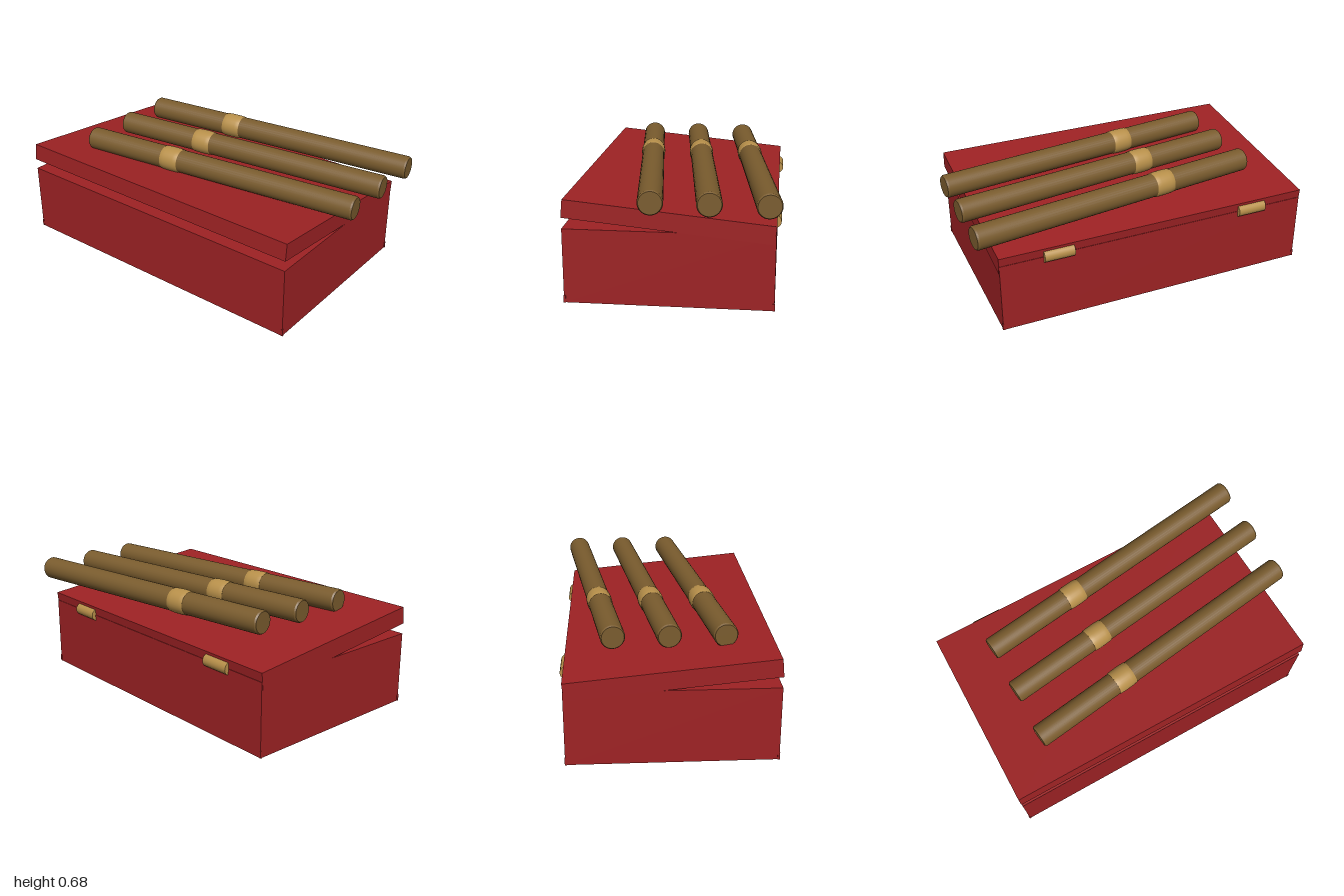
import * as THREE from 'three';

export function createModel() {
  const model = new THREE.Group();
  const material = (name, color) => {
    const m = new THREE.MeshStandardMaterial({ color });
    m.name = name;
    return m;
  };
  const red = material('red', 0x9e2224);
  const brown = material('brown', 0x7a5c2e);
  const gold = material('gold', 0xb8904a);

  const add = (parent, name, geometry, mat, x, y, z) => {
    const mesh = new THREE.Mesh(geometry, mat);
    mesh.name = name;
    mesh.position.set(x, y, z);
    parent.add(mesh);
    return mesh;
  };
  const box = (w, h, d) => new THREE.BoxGeometry(w, h, d);

  // Case body with small corner caps at the base
  const cx = -0.0625, cz = 0.0145, width = 1.875, depth = 1.124;
  add(model, 'caseBody', box(width - 0.004, 0.414, depth), red, cx, 0.207, cz);
  for (const sx of [-1, 1]) for (const sz of [-1, 1]) {
    add(model, 'cornerCap', box(0.012, 0.04, 0.012), red,
      cx + sx * (width / 2 - 0.005), 0.02, cz + sz * (depth / 2 - 0.004));
  }

  // Lid, tilted open about the back edge, with its inner lining
  const lid = new THREE.Group();
  lid.name = 'lid';
  lid.position.set(cx, 0.47, 0.014);
  lid.rotation.x = -0.098;
  add(lid, 'lidPanel', box(width, 0.1, 1.123), red, 0, 0, 0);
  add(lid, 'lidLining', box(1.68, 0.014, 0.95), gold, 0, -0.053, 0);
  model.add(lid);

  // Hinge barrels
  for (const x of [-0.665, 0.535]) {
    const hinge = add(model, 'hinge', new THREE.CylinderGeometry(0.037, 0.037, 0.175, 24), gold, x, 0.414, -0.535);
    hinge.rotation.z = Math.PI / 2;
  }

  // Rolled sticks with a band, lying diagonally above the lid
  const half = 0.87, r = 0.067;
  const profile = (points) => new THREE.LatheGeometry(points.map(([x, y]) => new THREE.Vector2(x, y)), 32);
  const stickShape = profile([[0, -half], [r - 0.006, -half], [r - 0.006, -half], [r, -half + 0.01],
    [r, -half + 0.01], [r, half - 0.01], [r, half - 0.01], [r - 0.006, half], [r - 0.006, half], [0, half]]);
  const bandShape = profile([[r - 0.002, -0.058], [0.07, -0.057], [0.072, -0.03],
    [0.0725, 0], [0.072, 0.03], [0.07, 0.057], [r - 0.002, 0.058]]);
  for (const z of [-0.4, -0.1, 0.2]) {
    const stick = new THREE.Group();
    stick.name = 'stick';
    stick.position.set(0.125, 0.603, z);
    stick.rotation.y = 0.13;
    add(stick, 'stickRoll', stickShape, brown, 0, 0, 0).rotation.z = -Math.PI / 2;
    add(stick, 'stickBand', bandShape, gold, -0.288, 0, 0).rotation.z = -Math.PI / 2;
    model.add(stick);
  }
  return model;
}
